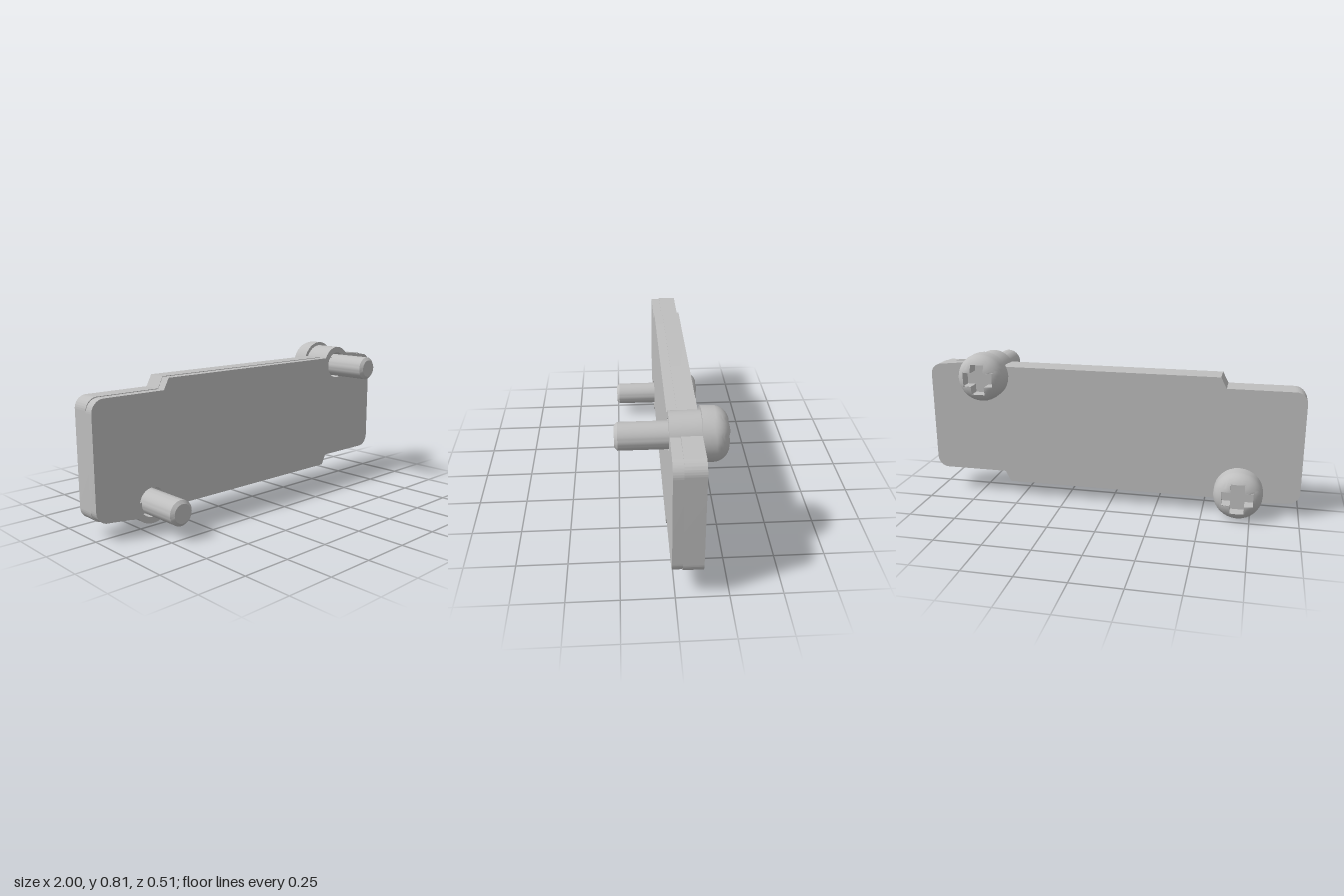
import * as THREE from 'three';
import { toCreasedNormals } from 'three/addons/utils/BufferGeometryUtils.js';

const MID_Y = 0.405;
const SCREW = { x: 0.685, y: 0.277 }; // offset from the plate centre
const HOLE_R = 0.075;

function addHole(shape, x, y) {
  shape.holes.push(new THREE.Path().absarc(x, y, HOLE_R, 0, Math.PI * 2, true));
}

function extrude(shape, z0, z1) {
  const geo = new THREE.ExtrudeGeometry(shape, { depth: z1 - z0, bevelEnabled: false, curveSegments: 24 });
  geo.translate(0, 0, z0);
  return toCreasedNormals(geo, 0.5);
}

// Stepped plate outline with rounded ends, the same after a half turn
function plateShape(inset, r) {
  const lo = -0.327 + inset, step = -0.27 + inset;
  const s = new THREE.Shape();
  s.moveTo(-1 + r, lo);
  s.lineTo(0.57, lo);
  s.lineTo(0.6, step);
  s.absarc(1 - r, step + r, r, -Math.PI / 2, 0, false);
  s.absarc(1 - r, -lo - r, r, 0, Math.PI / 2, false);
  s.lineTo(-0.57, -lo);
  s.lineTo(-0.6, -step);
  s.absarc(-1 + r, -step - r, r, Math.PI / 2, Math.PI, false);
  s.absarc(-1 + r, lo + r, r, Math.PI, Math.PI * 1.5, false);
  for (const k of [1, -1]) addHole(s, k * SCREW.x, k * SCREW.y);
  return s;
}

// Domed head with a cross recess, swept around the axis
function headGeometry() {
  const R = 0.127, fillet = 0.075, core = R - fillet;
  const base = 0.128, shoulder = 0.18, floor = 0.185;
  const arm = 0.08, half = 0.036;
  const tip = Math.atan2(half, arm);
  const angles = [];
  for (let q = 0; q < 4; q++) {
    for (const a of [0, tip / 2, tip, (tip + Math.PI / 4) / 2, Math.PI / 4]) angles.push(q * Math.PI / 2 + a);
    for (const a of [(tip + Math.PI / 4) / 2, tip, tip / 2]) angles.push((q + 1) * Math.PI / 2 - a);
  }
  const pos = [], index = [];
  let rows = 0;
  for (const a of angles) {
    const c = Math.max(Math.abs(Math.cos(a)), 1e-6), s = Math.max(Math.abs(Math.sin(a)), 1e-6);
    const rho = Math.max(Math.min(arm / c, half / s), Math.min(half / c, arm / s));
    const end = Math.acos(Math.max(0, (rho - core) / fillet));
    const line = [[0, base], [R, base]];
    for (let k = 0; k <= 10; k++) {
      const p = end * k / 10;
      line.push([core + fillet * Math.cos(p), shoulder + fillet * Math.sin(p)]);
    }
    line.push([rho, shoulder + fillet * Math.sin(end)], [rho, floor], [0, floor]);
    rows = line.length;
    for (const [r, z] of line) pos.push(r * Math.cos(a), r * Math.sin(a), z);
  }
  for (let i = 0; i < angles.length; i++) {
    const n = (i + 1) % angles.length;
    for (let j = 0; j < rows - 1; j++) {
      const A = i * rows + j, B = n * rows + j;
      index.push(A, B, B + 1, A, B + 1, A + 1);
    }
  }
  const geo = new THREE.BufferGeometry();
  geo.setAttribute('position', new THREE.Float32BufferAttribute(pos, 3));
  geo.setIndex(index);
  geo.rotateY(Math.PI); // the head faces the back
  return toCreasedNormals(geo, 0.5);
}

// Shank with a chamfered end
function shankGeometry() {
  const pts = [[0.064, -0.13], [0.064, 0.24], [0.048, 0.255], [0, 0.255]].map(p => new THREE.Vector2(...p));
  const geo = new THREE.LatheGeometry(pts, 40);
  geo.rotateX(Math.PI / 2);
  return toCreasedNormals(geo, 0.5);
}

export function createModel() {
  const metal = new THREE.MeshStandardMaterial({ color: 0xbfbfbf });
  metal.name = 'grey metal';
  const model = new THREE.Group();
  model.name = 'screwPlate';
  const add = (parent, name, geo) => {
    const mesh = new THREE.Mesh(geo, metal);
    mesh.name = name;
    parent.add(mesh);
  };

  // Two-layer plate
  const plate = new THREE.Group();
  plate.name = 'plate';
  plate.position.y = MID_Y;
  add(plate, 'backLayer', extrude(plateShape(0, 0.06), -0.128, -0.032));
  add(plate, 'frontLayer', extrude(plateShape(0.003, 0.066), -0.032, 0.016));
  model.add(plate);

  // Bosses and screws at opposite corners
  const ring = new THREE.Shape().absarc(0, 0, 0.108, 0, Math.PI * 2, false);
  addHole(ring, 0, 0);
  const boss = extrude(ring, -0.128, 0.016), head = headGeometry(), shank = shankGeometry();
  for (const [k, side] of [[1, 'left'], [-1, 'right']]) {
    const screw = new THREE.Group();
    screw.name = side + 'Screw';
    screw.position.set(k * SCREW.x, MID_Y + k * SCREW.y, 0);
    add(screw, side + 'Boss', boss);
    add(screw, side + 'ScrewHead', head);
    add(screw, side + 'ScrewShank', shank);
    model.add(screw);
  }
  return model;
}
